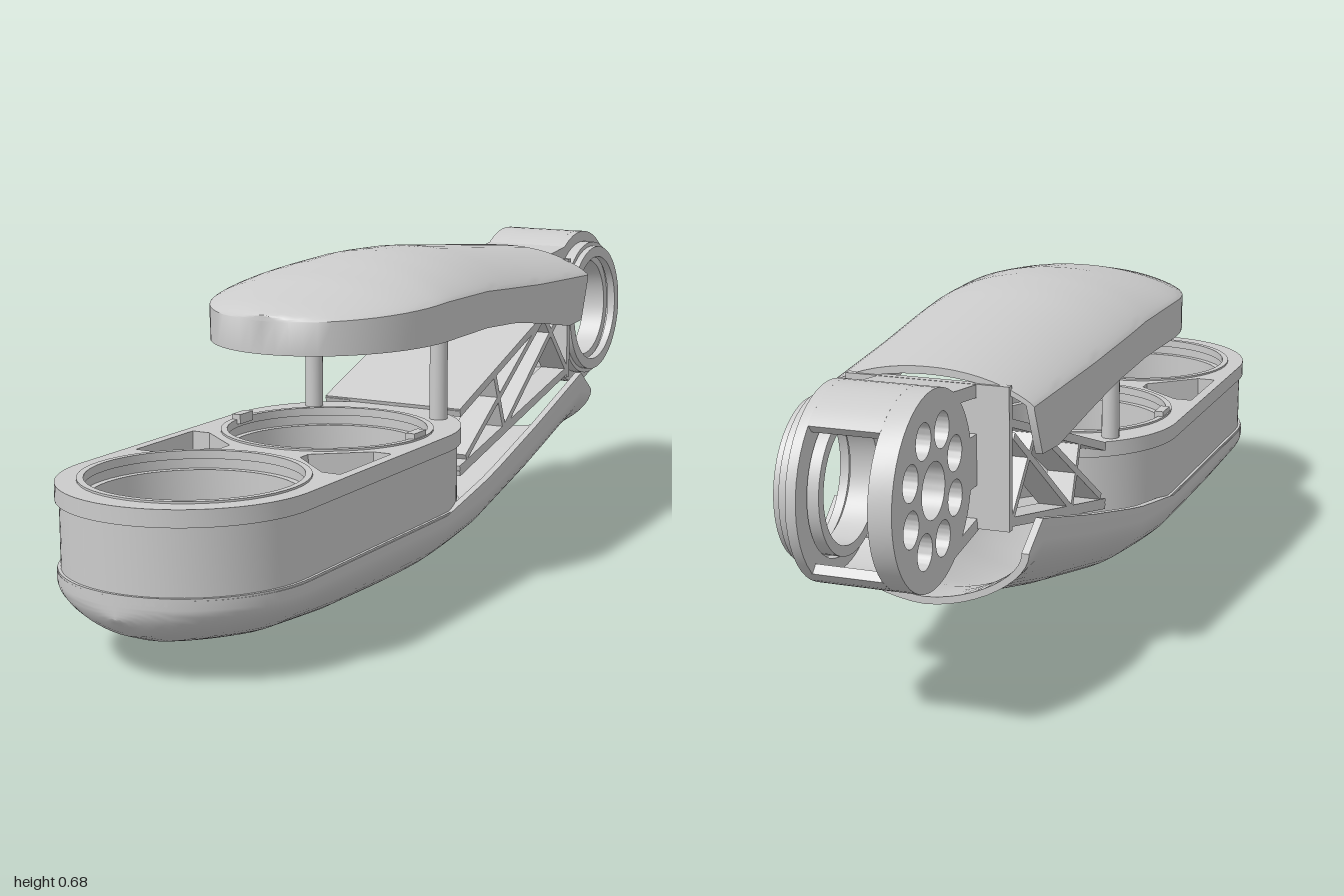
import * as THREE from 'three';
import { toCreasedNormals } from 'three/addons/utils/BufferGeometryUtils.js';

const grey = new THREE.MeshStandardMaterial({ color: 0xcccccc, side: THREE.DoubleSide });

function add(parent, name, geo) {
  const mesh = new THREE.Mesh(geo, grey);
  mesh.name = name;
  parent.add(mesh);
  return mesh;
}

// Piecewise linear lookup in [z, value] pairs, z descending
function lookup(table, z) {
  if (z >= table[0][0]) return table[0][1];
  for (let i = 1; i < table.length; i++) {
    const [z0, a] = table[i - 1], [z1, b] = table[i];
    if (z >= z1) return a + (b - a) * (z0 - z) / (z0 - z1);
  }
  return table[table.length - 1][1];
}

// Hollow arched shell: closed cross-sections (outer arc, then inner arc) joined along z
function shell({ zs, width, edge, shoulder, apex, p, q, t = 0.015 }) {
  const N = 24, pos = [], idx = [];
  for (const z of zs) {
    const w = width(z), e = lookup(edge, z), a = lookup(apex, z), dir = Math.sign(a - e);
    const s = lookup(shoulder, z);
    const arc = (w, a) => {
      const pts = [[-w, e]];
      for (let i = 0; i <= N; i++) {
        const u = -Math.cos(Math.PI * i / N);
        pts.push([u * w, s + (a - s) * Math.pow(Math.max(0, 1 - Math.pow(Math.abs(u), p)), 1 / q)]);
      }
      pts.push([w, e]);
      return pts;
    };
    const loop = [...arc(w, a), ...arc(Math.max(0, w - t), a - dir * t).reverse()];
    for (const [x, y] of loop) pos.push(x, y, z);
  }
  const M = 2 * (N + 3), H = M / 2;
  for (let k = 0; k < zs.length - 1; k++)
    for (let i = 0; i < M; i++) {
      const a = k * M + i, b = k * M + (i + 1) % M;
      idx.push(a, b, a + M, b, b + M, a + M);
    }
  // Rear rim
  const o = (zs.length - 1) * M;
  for (let i = 0; i < H - 1; i++) {
    const a = o + i, b = a + 1, c = o + M - 1 - i;
    idx.push(a, b, c, b, c - 1, c);
  }
  const g = new THREE.BufferGeometry();
  g.setAttribute('position', new THREE.Float32BufferAttribute(pos, 3));
  g.setIndex(idx);
  return toCreasedNormals(g, 0.6);
}

// Stations: cosine spacing round the nose, then even steps to the rear
function stations(nose, centre, rear) {
  const zs = [];
  for (let i = 0; i <= 14; i++) zs.push(centre + (nose - centre) * Math.cos(i / 14 * Math.PI / 2));
  for (let i = 1; i <= 20; i++) zs.push(centre + (rear - centre) * i / 20);
  return zs;
}

// Plan shapes use (x, -z) and rise along y
function planExtrude(shape, y0, y1) {
  const g = new THREE.ExtrudeGeometry(shape, { depth: y1 - y0, bevelEnabled: false, curveSegments: 24 });
  return toCreasedNormals(g.rotateX(-Math.PI / 2).translate(0, y0, 0), 0.5);
}

// Side shapes use (-z, y) and run along x
function sideExtrude(shape, x0, x1) {
  const g = new THREE.ExtrudeGeometry(shape, { depth: x1 - x0, bevelEnabled: false, curveSegments: 24 });
  return toCreasedNormals(g.rotateY(Math.PI / 2).translate(x0, 0, 0), 0.5);
}

const poly = pts => new THREE.Shape(pts.map(([a, b]) => new THREE.Vector2(a, b)));
const circle = (x, y, r) => new THREE.Shape().absarc(x, y, r, 0, Math.PI * 2, false);

function bar(s0, y0, s1, y1, t) {
  const l = Math.hypot(s1 - s0, y1 - y0), a = -(y1 - y0) / l * t / 2, b = (s1 - s0) / l * t / 2;
  return poly([[s0 - a, y0 - b], [s1 - a, y1 - b], [s1 + a, y1 + b], [s0 + a, y0 + b]]);
}

function stadium(r) {
  return new THREE.Shape().absarc(0, -0.2, r, 0, Math.PI, false).absarc(0, -0.75, r, Math.PI, Math.PI * 2, false);
}

// Housing with two round wells and corner pockets
function buildHousing() {
  const g = new THREE.Group();
  g.name = 'housing';
  const holed = (r, well) => {
    const s = stadium(r);
    s.holes.push(circle(0, -0.74, well), circle(0, -0.25, well));
    for (const m of [-1, 1])
      s.holes.push(poly([[m * 0.23, -0.4], [m * 0.19, -0.4], [m * 0.09, -0.48], [m * 0.09, -0.51], [m * 0.19, -0.6], [m * 0.23, -0.6]]));
    return s;
  };
  add(g, 'topFlange', planExtrude(holed(0.252, 0.212), 0.3, 0.333));
  add(g, 'housingWall', planExtrude(holed(0.244, 0.198), 0.17, 0.3));
  add(g, 'housingFloor', planExtrude(stadium(0.25), 0.157, 0.172));
  for (const z of [0.74, 0.25]) {
    const rim = circle(0, -z, 0.218);
    rim.holes.push(circle(0, -z, 0.205));
    add(g, 'wellRim', planExtrude(rim, 0.32, 0.337));
  }
  add(g, 'wellHub', new THREE.CylinderGeometry(0.025, 0.03, 0.06, 20).translate(0, 0.2, 0.25));
  return g;
}

// Braced arm linking the housing to the pivot
function buildArm() {
  const g = new THREE.Group();
  g.name = 'arm';
  const outline = [[0.03, 0.335], [0.46, 0.485], [0.6, 0.53], [0.6, 0.335], [0.03, 0.2]];
  add(g, 'centreWeb', sideExtrude(poly(outline), -0.006, 0.006));
  const braces = [
    [0.03, 0.33, 0.6, 0.53], [0.03, 0.21, 0.6, 0.34], [0.06, 0.23, 0.46, 0.485],
    [0.2, 0.385, 0.25, 0.26], [0.25, 0.26, 0.58, 0.5], [0.46, 0.48, 0.59, 0.34],
  ];
  for (const m of [-1, 1])
    for (const b of braces) {
      const x = m * 0.135;
      add(g, 'brace', sideExtrude(bar(...b, 0.014), x - 0.03, x + 0.03));
    }
  add(g, 'slopedPlate', sideExtrude(bar(0.03, 0.335, 0.6, 0.533, 0.012), -0.165, 0.165));
  add(g, 'lowerPlate', sideExtrude(bar(0.03, 0.2, 0.6, 0.335, 0.012), -0.165, 0.165));
  add(g, 'endPlate', sideExtrude(bar(0.598, 0.32, 0.598, 0.6, 0.016), -0.165, 0.165));
  return g;
}

// Round pivot head: drilled disc, open-backed wall and bearing ring
function buildPivot() {
  const g = new THREE.Group();
  g.name = 'pivot';
  const S = 0.815, Y = 0.455, R = 0.185;
  const ring = (ro, ri, x0, x1, name) => {
    const s = circle(S, Y, ro);
    s.holes.push(circle(S, Y, ri));
    add(g, name, sideExtrude(s, x0, x1));
  };
  const disc = circle(S, Y, R);
  disc.holes.push(circle(S, Y, 0.053));
  for (let i = 0; i < 8; i++) {
    const a = (i + 0.5) * Math.PI / 4;
    disc.holes.push(circle(S + 0.11 * Math.cos(a), Y + 0.11 * Math.sin(a), 0.034));
  }
  add(g, 'drilledDisc', sideExtrude(disc, -0.1, -0.055));
  const a0 = 0.82, a1 = Math.PI * 2 - a0;
  const wall = new THREE.Shape().absarc(S, Y, R, a0, a1, false).absarc(S, Y, R - 0.02, a1, a0, true);
  add(g, 'pivotWall', sideExtrude(wall, -0.056, 0.082));
  ring(R, 0.14, 0.08, 0.1, 'sideRing');
  ring(0.16, 0.135, 0.1, 0.125, 'bearingSeat');
  ring(0.15, 0.125, 0.122, 0.14, 'bearingRing');
  ring(0.135, 0.115, 0.06, 0.115, 'innerRing');
  // Neck struts
  add(g, 'upperNeck', sideExtrude(bar(0.59, 0.585, 0.72, 0.6, 0.025), -0.1, 0.1));
  add(g, 'lowerNeck', sideExtrude(bar(0.59, 0.33, 0.72, 0.31, 0.025), -0.1, 0.1));
  add(g, 'neckWeb', sideExtrude(bar(0.59, 0.455, 0.645, 0.455, 0.1), -0.1, 0.1));
  return g;
}

export function createModel() {
  const model = new THREE.Group();
  model.name = 'armAssembly';

  add(model, 'lowerShell', shell({
    zs: stations(1, 0.75, -0.63),
    width: z => z > 0.75 ? 0.252 * Math.sqrt(Math.max(0, 1 - ((z - 0.75) / 0.25) ** 2)) : lookup([[0.2, 0.252], [-0.63, 0.212]], z),
    edge: [[0.2, 0.168], [0, 0.2], [-0.05, 0.21], [-0.3, 0.27], [-0.58, 0.345], [-0.61, 0.335], [-0.63, 0.29]],
    shoulder: [[0.2, 0.15], [0, 0.165], [-0.3, 0.23], [-0.58, 0.3], [-0.63, 0.285]],
    apex: [[1, 0.125], [0.97, 0.088], [0.9, 0.06], [0.75, 0.03], [0.55, 0.008], [0.3, 0], [0.15, 0.004], [0, 0.02], [-0.3, 0.088], [-0.5, 0.143], [-0.63, 0.166]],
    p: 1.7, q: 1.7,
  }));

  add(model, 'upperShell', shell({
    zs: stations(0.5, 0.2, -0.6),
    width: z => z > 0.2 ? 0.247 * Math.sqrt(Math.max(0, 1 - ((z - 0.2) / 0.3) ** 2)) : lookup([[0.2, 0.247], [-0.1, 0.238], [-0.6, 0.212]], z),
    edge: [[0, 0.525], [-0.15, 0.515], [-0.3, 0.493], [-0.48, 0.462], [-0.56, 0.465], [-0.6, 0.56]],
    shoulder: [[0.5, 0.59], [0.2, 0.605], [0, 0.602], [-0.3, 0.58], [-0.6, 0.565]],
    apex: [[0.5, 0.602], [0.45, 0.618], [0.3, 0.652], [0.15, 0.672], [0.03, 0.679], [-0.1, 0.675], [-0.3, 0.655], [-0.6, 0.624]],
    p: 2.1, q: 1.2,
  }));

  model.add(buildHousing(), buildArm(), buildPivot());

  // Posts holding the upper shell, with clips at the shell ends
  for (const m of [-1, 1]) {
    add(model, 'post', new THREE.CylinderGeometry(0.019, 0.019, 0.3, 20).translate(m * 0.151, 0.483, 0.045));
    add(model, 'clip', new THREE.BoxGeometry(0.02, 0.02, 0.05).translate(m * 0.205, 0.338, 0.25));
  }
  return model;
}
